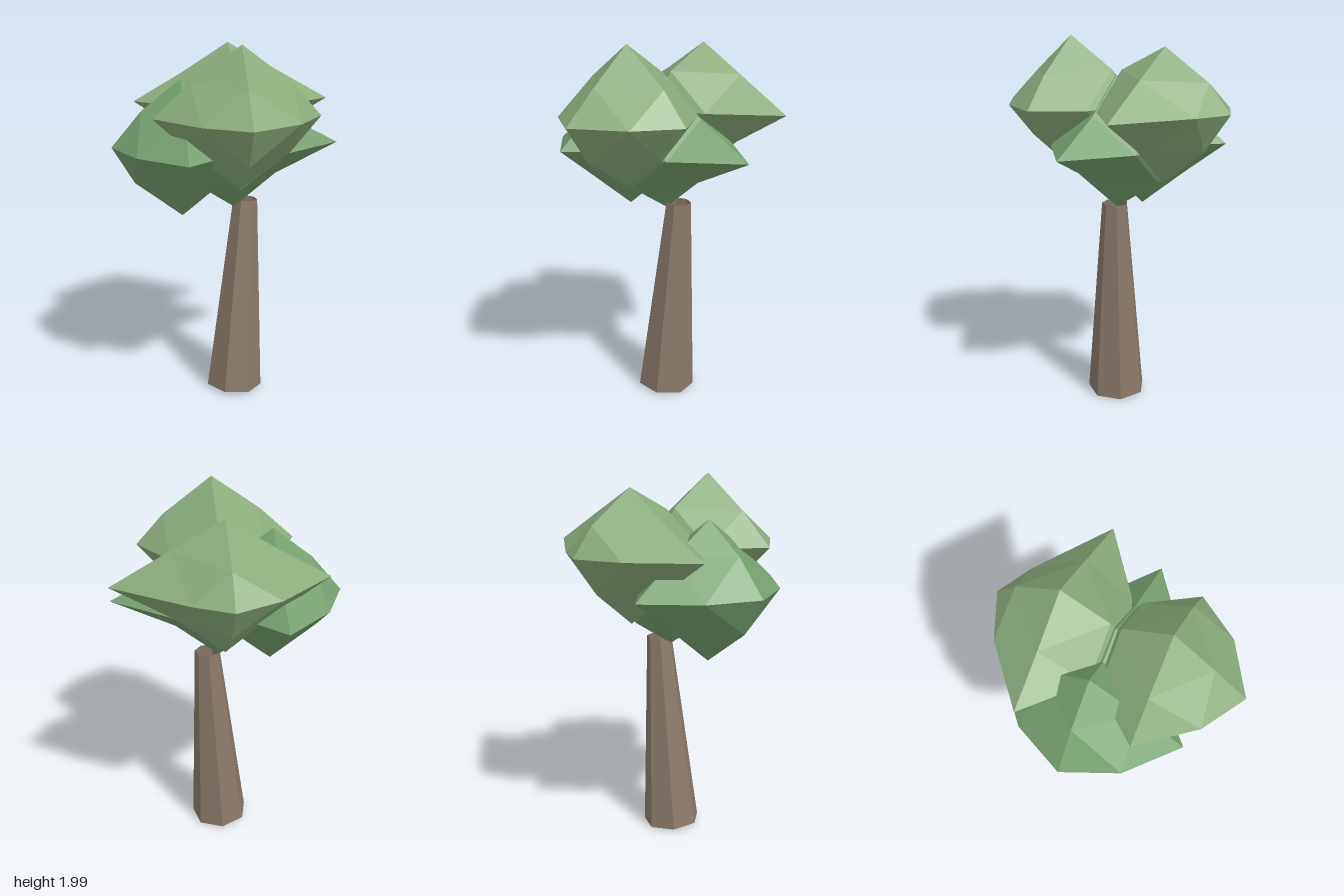
import * as THREE from 'three';

// Faceted leaf clump: an octahedron split once. The six tips get their own
// lengths, and the mid-edge corners lie on a flattened sphere unless adjusted.
function leafClump(name, color, centre, tips, mids = {}) {
  const geo = new THREE.OctahedronGeometry(1, 1);
  const pos = geo.attributes.position;
  for (let i = 0; i < pos.count; i++) {
    const s = [pos.getX(i), pos.getY(i), pos.getZ(i)].map(v => Math.abs(v) < 0.1 ? 0 : Math.sign(v));
    const key = s.map((v, k) => (v === 0 ? '' : (v > 0 ? '+' : '-') + 'xyz'[k])).join('');
    if (key.length === 2) {
      pos.setXYZ(i, ...s.map(v => v * tips[key]));
    } else {
      pos.setXYZ(i, ...(mids[key] || [s[0] * 0.25, s[1] * 0.19, s[2] * 0.255]));
    }
  }
  geo.computeVertexNormals();
  const mesh = new THREE.Mesh(geo, new THREE.MeshStandardMaterial({ color, flatShading: true }));
  mesh.name = name;
  mesh.position.set(...centre);
  return mesh;
}

export function createModel() {
  const tree = new THREE.Group();
  tree.name = 'tree';
  const light = 0x8aab7b, dark = 0x769f6f;

  // Leaning, tapered seven-sided trunk with open ends
  const base = new THREE.Vector3(0.04, 0.015, -0.018);
  const top = new THREE.Vector3(0.105, 1.128, -0.046);
  const axis = top.clone().sub(base);
  const trunk = new THREE.Mesh(
    new THREE.CylinderGeometry(0.069, 0.16, axis.length(), 7, 1, true, Math.PI),
    new THREE.MeshStandardMaterial({ color: 0x8b7a6b, flatShading: true, side: THREE.DoubleSide })
  );
  trunk.name = 'trunk';
  trunk.position.copy(base).add(top).multiplyScalar(0.5);
  trunk.quaternion.setFromUnitVectors(new THREE.Vector3(0, 1, 0), axis.normalize());
  tree.add(trunk);

  // Two upper clumps, front and back
  tree.add(leafClump('frontUpperLeaves', light, [0.04, 1.64, 0.265],
    { '+x': 0.41, '-x': 0.45, '+y': 0.36, '-y': 0.37, '+z': 0.4, '-z': 0.37 },
    { '+x+z': [0.26, 0, 0.23], '-x+z': [-0.23, 0, 0.265], '+y+z': [0, 0.17, 0.22],
      '-y+z': [0, -0.2, 0.265], '+x+y': [0.26, 0.165, 0], '-x+y': [-0.26, 0.175, 0] }));
  tree.add(leafClump('backUpperLeaves', light, [0.04, 1.64, -0.303],
    { '+x': 0.57, '-x': 0.53, '+y': 0.32, '-y': 0.39, '+z': 0.37, '-z': 0.37 },
    { '+x-z': [0.19, 0, -0.272], '-x-z': [-0.24, 0, -0.262], '+y-z': [0, 0.15, -0.25],
      '-y-z': [0, -0.2, -0.23], '+x+y': [0.26, 0.175, 0], '-x+y': [-0.26, 0.155, 0] }));

  // Two lower clumps, left and right
  tree.add(leafClump('leftLowerLeaves', dark, [0.04, 1.44, -0.02],
    { '+x': 0.57, '-x': 0.37, '+y': 0.365, '-y': 0.35, '+z': 0.36, '-z': 0.36 },
    { '+x-y': [0.23, -0.165, 0], '+x+y': [0.24, 0.175, 0] }));
  tree.add(leafClump('rightLowerLeaves', dark, [-0.245, 1.44, -0.02],
    { '+x': 0.37, '-x': 0.375, '+y': 0.36, '-y': 0.39, '+z': 0.5, '-z': 0.51 },
    { '-x+z': [-0.25, 0, 0.28], '-x-z': [-0.25, 0, -0.28],
      '-x-y': [-0.255, -0.2, 0], '-x+y': [-0.21, 0.195, 0] }));

  return tree;
}
